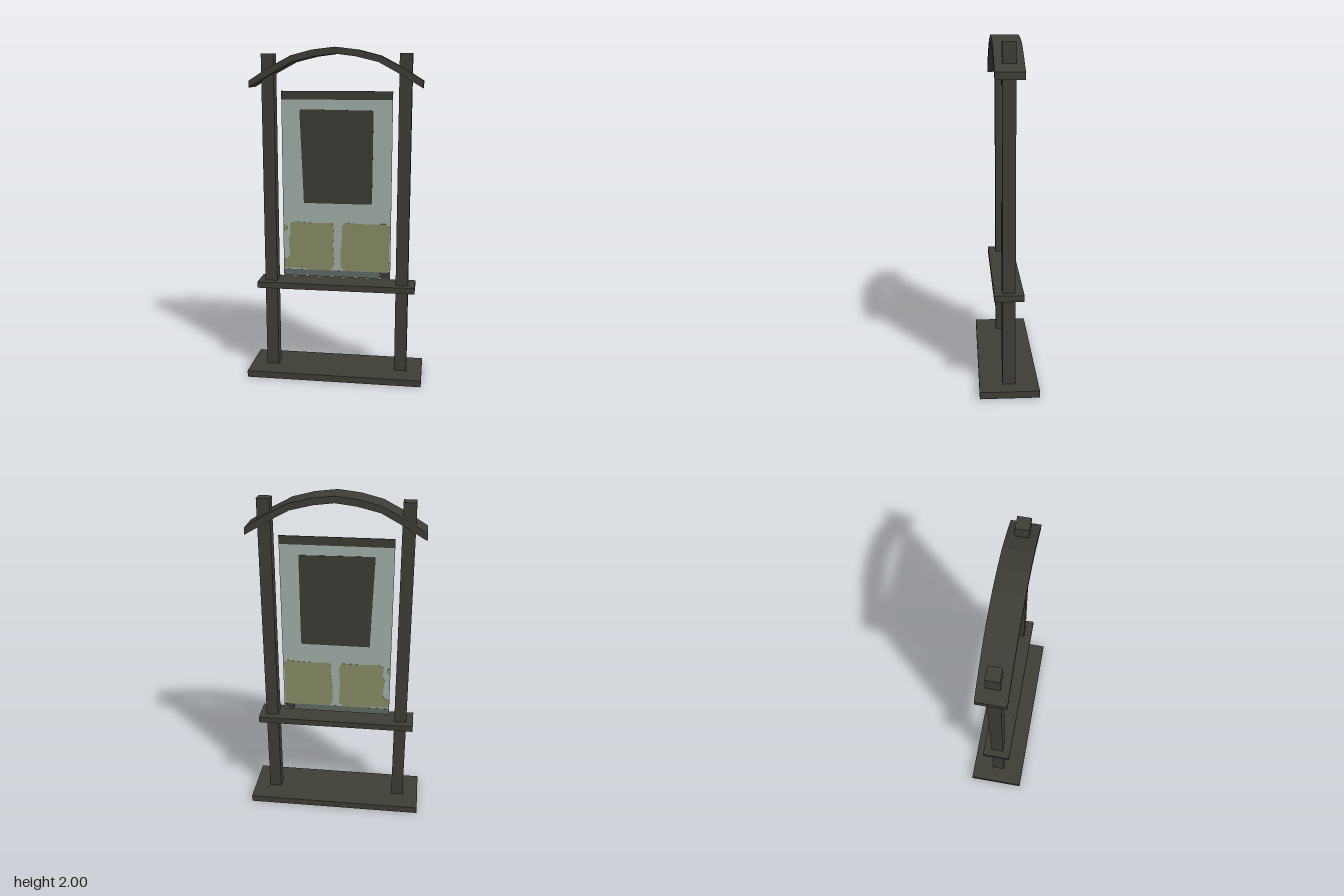
import * as THREE from 'three';

const mat = (name, color) => {
  const m = new THREE.MeshStandardMaterial({ color });
  m.name = name;
  return m;
};

export function createModel() {
  const group = new THREE.Group();
  const wood = mat('dark wood', 0x3d3c35);
  const pale = mat('pale board', 0xa0ada6);
  const olive = mat('olive print', 0x878b63);
  const grey = mat('grey strip', 0x5e6963);
  const charcoal = mat('charcoal print', 0x3b3b34);

  const add = (name, geometry, material) => {
    const mesh = new THREE.Mesh(geometry, material);
    mesh.name = name;
    group.add(mesh);
    return mesh;
  };
  // box given by its limits in x and y, centred on z = 0
  const box = (name, x0, x1, y0, y1, depth, material) =>
    add(name, new THREE.BoxGeometry(x1 - x0, y1 - y0, depth), material)
      .position.set((x0 + x1) / 2, (y0 + y1) / 2, 0);
  // outline extruded evenly about z = 0
  const plate = (name, points, depth, material) => {
    const shape = new THREE.Shape(points.map(([x, y]) => new THREE.Vector2(x, y)));
    const geometry = new THREE.ExtrudeGeometry(shape, { depth, bevelEnabled: false });
    add(name, geometry.translate(0, 0, -depth / 2), material);
  };

  // frame
  box('base', -0.535, 0.535, 0, 0.04, 0.34, wood);
  box('shelf', -0.482, 0.482, 0.555, 0.592, 0.168, wood);
  for (const s of [-1, 1]) {
    box(s > 0 ? 'leftPost' : 'rightPost', s * 0.403 - 0.037, s * 0.403 + 0.037, 0.04, 1.965, 0.074, wood);
  }

  // arched roof, mirrored from half profiles
  const top = [[0, 2], [0.13, 1.985], [0.255, 1.953], [0.385, 1.885], [0.505, 1.81]];
  const under = [[0.505, 1.77], [0.37, 1.85], [0.25, 1.915], [0.12, 1.947], [0, 1.962]];
  const half = [...top, ...under];
  const mirrored = half.slice(1, -1).reverse().map(([x, y]) => [-x, y]);
  plate('archedRoof', [...half, ...mirrored], 0.162, wood);

  // hanging board, printed the same on both sides
  box('board', -0.33, 0.33, 0.66, 1.7, 0.003, pale);
  box('boardTopRail', -0.33, 0.33, 1.7, 1.75, 0.006, charcoal);
  box('boardBottomStrip', -0.33, 0.33, 0.62, 0.66, 0.006, grey);
  box('bottomMark', 0.265, 0.322, 0.626, 0.658, 0.009, charcoal);
  plate('poster', [[-0.2, 1.08], [0.205, 1.08], [0.214, 1.09], [0.218, 1.638],
    [-0.215, 1.643], [-0.222, 1.63], [-0.206, 1.24]], 0.008, charcoal);
  plate('rightNotice', [[-0.33, 0.67], [-0.19, 0.668], [-0.17, 0.66], [-0.04, 0.66], [-0.015, 0.69],
    [-0.022, 0.82], [-0.016, 0.93], [-0.03, 0.96], [-0.15, 0.957], [-0.26, 0.963], [-0.288, 0.945],
    [-0.285, 0.88], [-0.298, 0.86], [-0.288, 0.75], [-0.305, 0.728], [-0.33, 0.72]], 0.007, olive);
  plate('leftNotice', [[0.045, 0.66], [0.3, 0.66], [0.325, 0.675], [0.32, 0.82], [0.325, 0.94],
    [0.3, 0.963], [0.16, 0.957], [0.05, 0.963], [0.032, 0.94], [0.035, 0.87], [0.024, 0.78],
    [0.024, 0.69]], 0.007, olive);
  plate('edgePatch', [[-0.33, 0.9], [-0.308, 0.905], [-0.304, 0.93], [-0.33, 0.945]], 0.007, olive);

  return group;
}
